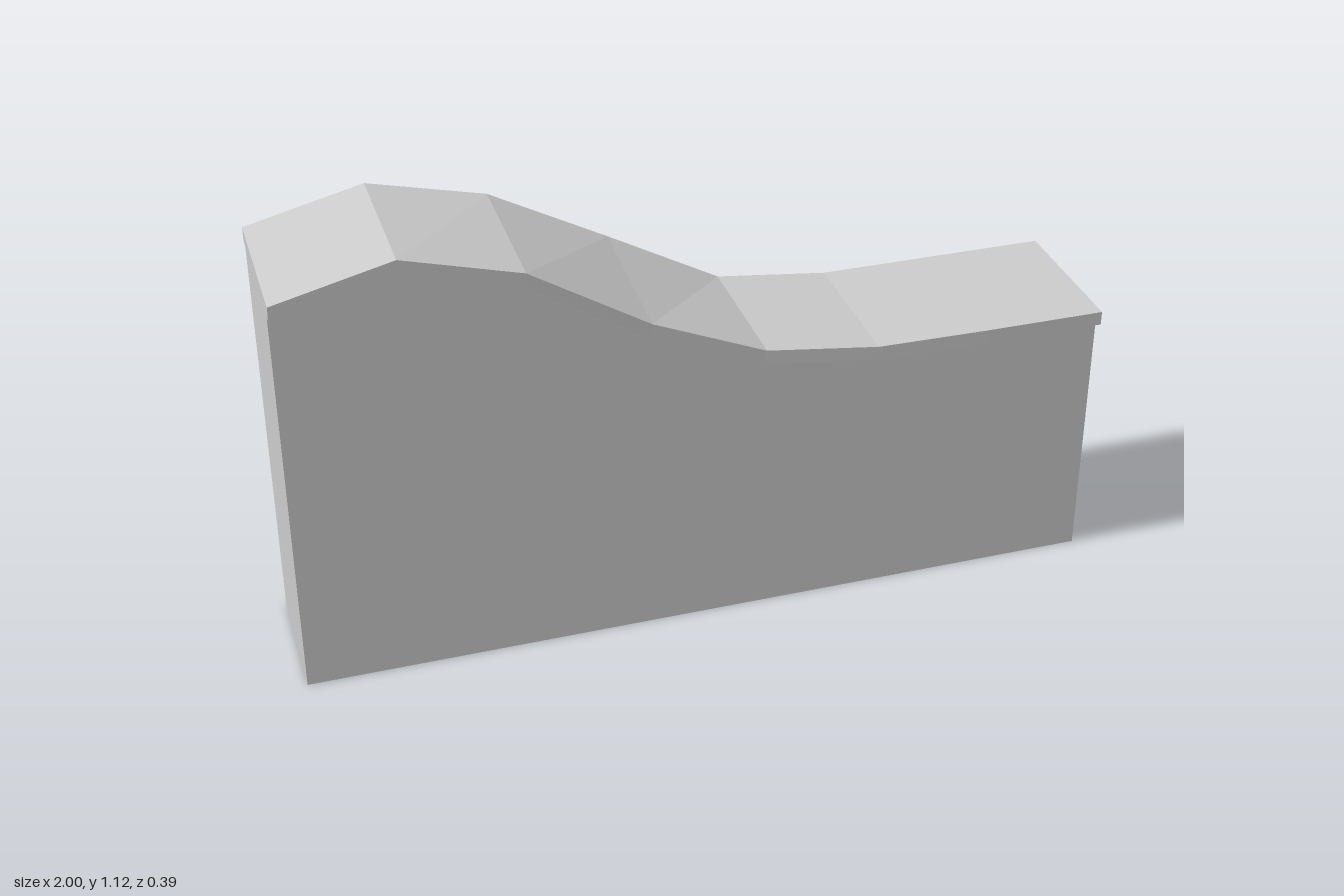
import * as THREE from 'three';

// Stations along the wall: x, cap height at front, cap height at back, cap front z
const STATIONS = [
  [-1, 1.05, 1.05, 0.195],
  [-0.715, 1.12, 1.12, 0.195],
  [-0.43, 1.04, 1.05, 0.193],
  [-0.14, 0.858, 0.893, 0.187],
  [0.14, 0.737, 0.737, 0.184],
  [0.42, 0.702, 0.702, 0.19],
  [0.7, 0.702, 0.702, 0.195],
  [1, 0.702, 0.702, 0.195],
];
const CAP = 0.035;
const WALL_FRONT = 0.168;
const WALL_BACK = -0.165;
const CAP_BACK = -0.193;

// One lengthwise line of points
const rail = (f) => STATIONS.map(([x, yf, yb, zf]) => [x, ...f(yf, yb, zf)]);

// Skin neighbouring rails, and close both ends between chosen rails
function skin(name, rails, ends) {
  const pos = [];
  const tri = (...pts) => pts.forEach((p) => pos.push(...p));
  for (let r = 0; r < rails.length - 1; r++) {
    const a = rails[r], b = rails[r + 1];
    for (let i = 0; i < a.length - 1; i++) {
      tri(a[i], a[i + 1], b[i + 1]);
      tri(a[i], b[i + 1], b[i]);
    }
  }
  const [bf, bb, tb, tf] = ends.map((k) => rails[k]);
  const n = STATIONS.length - 1;
  tri(bf[n], bb[n], tb[n]);
  tri(bf[n], tb[n], tf[n]);
  tri(bf[0], tb[0], bb[0]);
  tri(bf[0], tf[0], tb[0]);

  const geo = new THREE.BufferGeometry();
  geo.setAttribute('position', new THREE.Float32BufferAttribute(pos, 3));
  geo.computeVertexNormals();
  const mesh = new THREE.Mesh(geo, new THREE.MeshStandardMaterial({
    color: 0xcccccc, flatShading: true, side: THREE.DoubleSide,
  }));
  mesh.name = name;
  return mesh;
}

export function createModel() {
  const group = new THREE.Group();
  group.name = 'slopedWall';

  const frontTop = rail((yf) => [yf - CAP, WALL_FRONT]);
  const backTop = rail((yf, yb) => [yb - CAP, WALL_BACK]);

  // Wall body: front, back and ends, open at the bottom
  const front = skin('wallFront', [rail(() => [0, WALL_FRONT]), frontTop], [0, 0, 1, 1]);
  const back = skin('wallBack', [backTop, rail(() => [0, WALL_BACK])], [0, 0, 1, 1]);
  group.add(front, back);
  for (const [name, s] of [['wallLeftEnd', STATIONS.at(-1)], ['wallRightEnd', STATIONS[0]]]) {
    const [x, y] = s;
    const end = new THREE.Mesh(
      new THREE.PlaneGeometry(WALL_FRONT - WALL_BACK, y - CAP), front.material);
    end.rotation.y = Math.sign(x) * Math.PI / 2;
    end.position.set(x, (y - CAP) / 2, (WALL_FRONT + WALL_BACK) / 2);
    end.name = name;
    group.add(end);
  }

  // Coping: overhanging lips on both sides, hollow underneath
  group.add(skin('coping', [
    frontTop,
    rail((yf, yb, zf) => [yf - CAP, zf]),
    rail((yf, yb, zf) => [yf, zf]),
    rail((yf, yb) => [yb, CAP_BACK]),
    rail((yf, yb) => [yb - CAP, CAP_BACK]),
    backTop,
  ], [1, 4, 3, 2]));

  return group;
}
